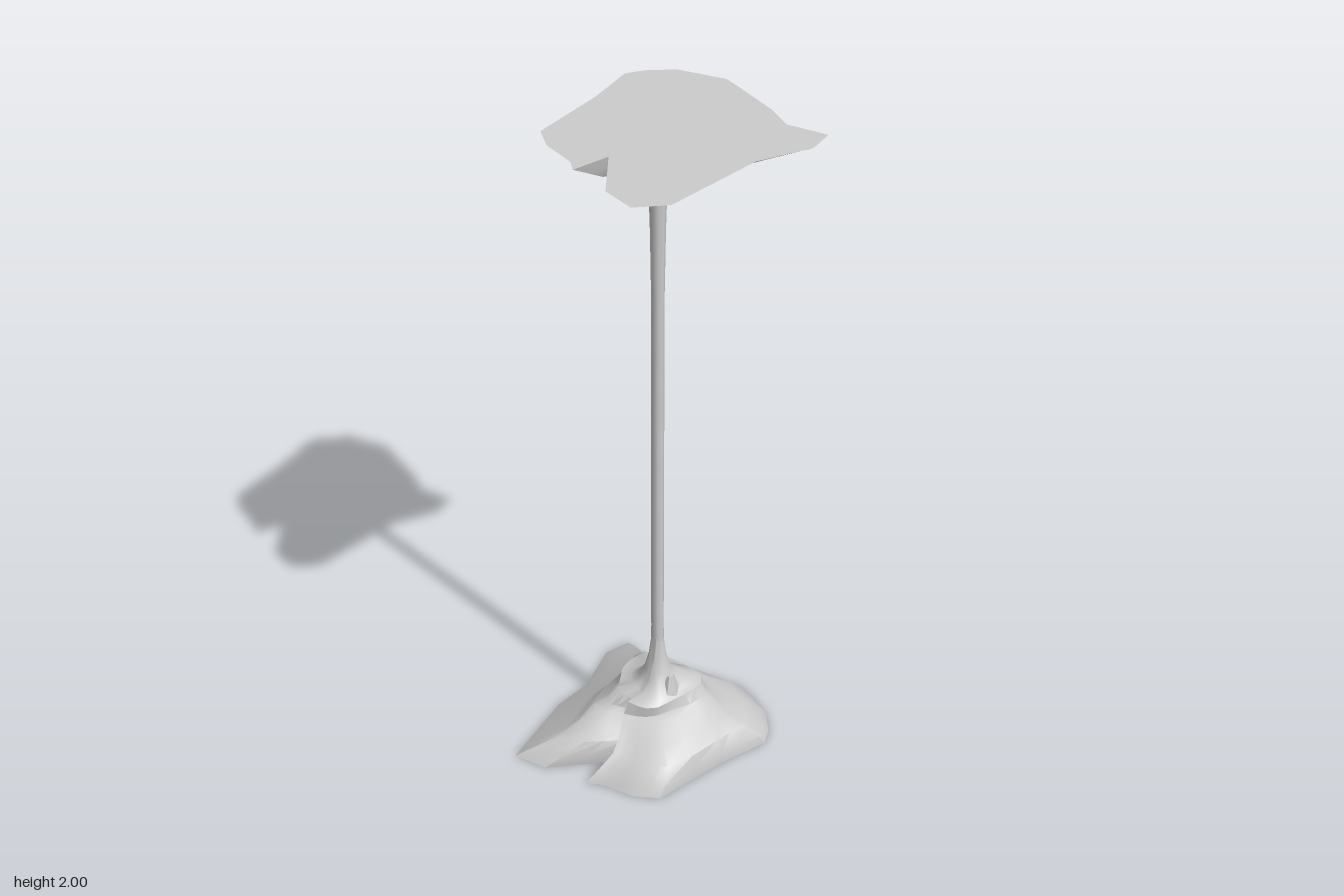
import * as THREE from 'three';
import { toCreasedNormals } from 'three/addons/utils/BufferGeometryUtils.js';

const CX = 0.017; // axis of the thin column

// Ragged rock outline (x, z), running from +x towards +z
const outline = (cornerZ) => [
  [0.33, 0], [0.343, 0.05], [0.30, 0.185], [0.24, 0.245], [0.19, 0.272],
  [0.035, 0.235], [-0.20, 0.205], [-0.245, 0.14], [-0.27, 0.035], [-0.297, 0],
  [-0.187, -0.018], [-0.325, -0.135], [-0.345, -0.237], [-0.27, cornerZ], [-0.09, -0.304],
  [0.035, -0.306], [0.19, -0.367], [0.27, -0.35], [0.245, -0.235], [0.285, -0.15],
];

// Loft of shrinking rings: [y, scale, roundness, shiftX, shiftZ, waviness]
function rockMound(corners, rings) {
  const pts = [];
  corners.forEach(([x, z], i) => {
    const [nx, nz] = corners[(i + 1) % corners.length];
    pts.push([x - CX, z], [(x + nx) / 2 - CX, (z + nz) / 2]);
  });
  const n = pts.length, pos = [], idx = [];
  rings.forEach(([y, s, round, dx, dz, wave], k) => {
    for (const [x, z] of pts) {
      const a = Math.atan2(z, x);
      const r = THREE.MathUtils.lerp(Math.hypot(x, z), 0.28, round) * s
        * (1 + wave * Math.sin(3 * a + k * 0.9));
      pos.push(CX + dx + r * Math.cos(a), y + wave * 0.05 * Math.sin(2 * a + k), dz + r * Math.sin(a));
    }
  });
  const last = rings.length - 1, bottom = pos.length / 3, top = bottom + 1;
  pos.push(CX, rings[0][0], 0);
  pos.push(CX + rings[last][3], rings[last][0], rings[last][4]);
  for (let i = 0; i < n; i++) {
    const j = (i + 1) % n;
    for (let k = 0; k < last; k++) {
      const a = k * n + i, b = k * n + j;
      idx.push(a, a + n, b, b, a + n, b + n);
    }
    idx.push(bottom, i, j, top, last * n + j, last * n + i);
  }
  const g = new THREE.BufferGeometry();
  g.setAttribute('position', new THREE.Float32BufferAttribute(pos, 3));
  g.setIndex(idx);
  return toCreasedNormals(g, 0.75);
}

export function createModel() {
  const group = new THREE.Group();
  const material = new THREE.MeshStandardMaterial({ color: 0xcccccc });
  const add = (name, geometry) => {
    const mesh = new THREE.Mesh(geometry, material);
    mesh.name = name;
    group.add(mesh);
    return mesh;
  };

  // Terraced mound on the floor, sweeping up into the column
  add('floorMound', rockMound(outline(-0.257), [
    [0, 1, 0, 0, 0, 0],
    [0.03, 0.92, 0.05, 0, 0.015, 0],
    [0.075, 0.76, 0.2, 0, 0.03, 0.03],
    [0.095, 0.64, 0.35, 0.01, 0.01, 0.06],
    [0.135, 0.52, 0.5, 0.015, -0.01, 0.08],
    [0.145, 0.45, 0.6, 0.015, -0.015, 0.1],
    [0.18, 0.40, 0.7, 0.01, -0.01, 0.1],
    [0.19, 0.29, 0.8, 0.01, 0, 0.1],
    [0.22, 0.19, 0.9, 0.005, 0, 0.06],
    [0.25, 0.135, 1, 0, 0, 0],
    [0.30, 0.09, 1, 0, 0, 0],
    [0.36, 0.064, 1, 0, 0, 0],
  ]));

  // Shallower mound hanging from the ceiling, turned upside down
  const ceiling = add('ceilingMound', rockMound(outline(-0.30), [
    [0, 1, 0, 0, 0, 0],
    [0.03, 0.84, 0.08, 0, 0, 0],
    [0.06, 0.70, 0.25, 0, 0, 0.03],
    [0.068, 0.62, 0.4, 0, 0, 0.05],
    [0.10, 0.50, 0.55, 0, 0, 0.07],
    [0.107, 0.40, 0.7, 0, 0.01, 0.08],
    [0.14, 0.32, 0.8, 0, 0.02, 0.08],
    [0.147, 0.25, 0.9, 0, 0.02, 0.08],
    [0.175, 0.18, 1, 0.01, 0.015, 0.06],
    [0.183, 0.13, 1, 0.01, 0.01, 0],
  ]));
  ceiling.rotation.x = Math.PI;
  ceiling.position.y = 2;

  // Thin column joining both mounds
  const profile = [[0.02, 0.3], [0.018, 0.4], [0.018, 1.5], [0.021, 1.7], [0.025, 1.84]];
  const column = add('column', new THREE.LatheGeometry(
    profile.map(([r, y]) => new THREE.Vector2(r, y)), 8));
  column.position.x = CX;

  // Small drip spur on the front of the floor mound
  const spur = add('spur', toCreasedNormals(new THREE.CylinderGeometry(0.012, 0.045, 0.09, 6), 0.5));
  spur.position.set(0.015, 0.2, 0.053);
  spur.scale.z = 0.7;

  return group;
}
